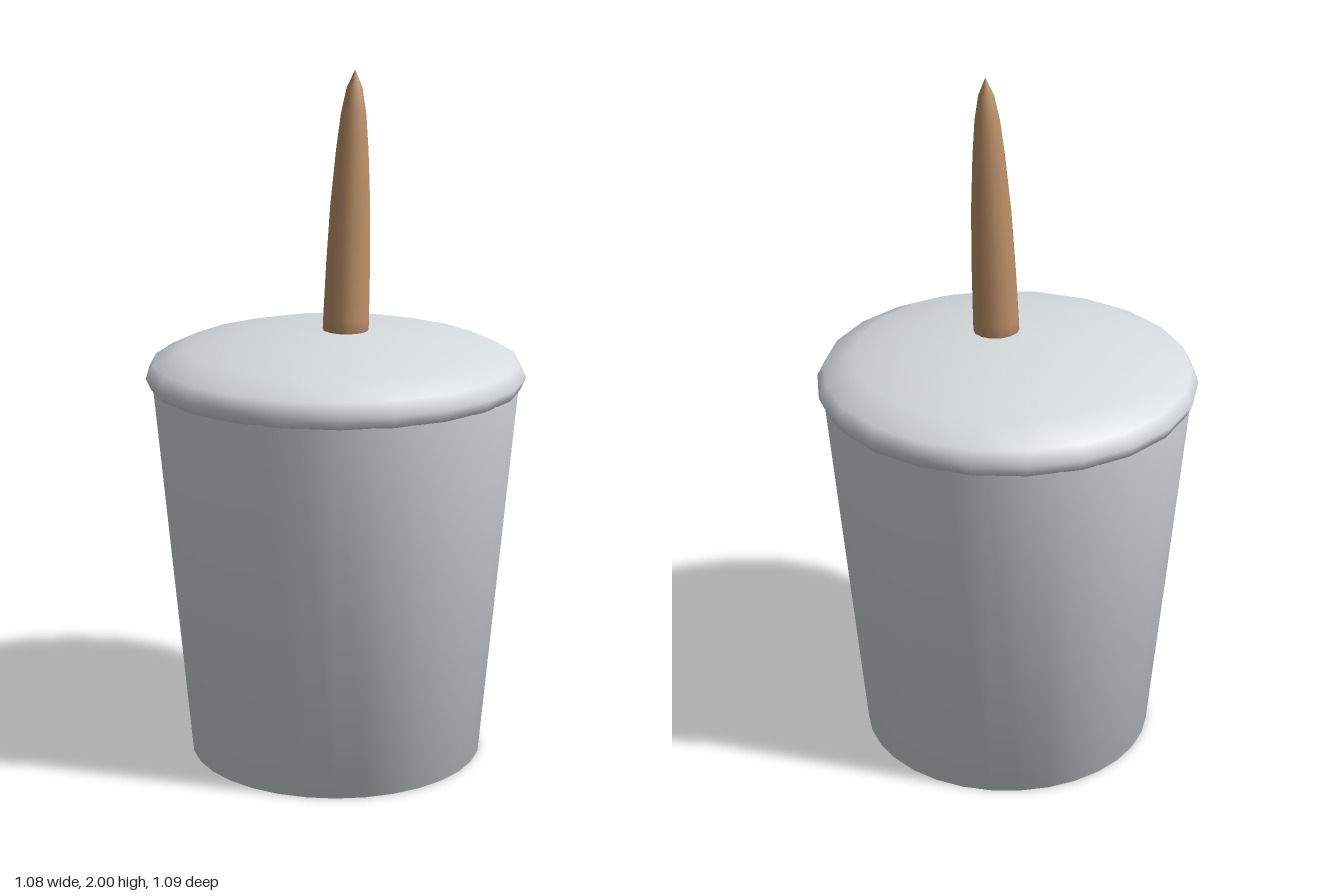
import * as THREE from 'three';

const profile = (pairs) => pairs.map(([r, y]) => new THREE.Vector2(r, y));

function lathe(name, pairs, sides, material) {
  const mesh = new THREE.Mesh(new THREE.LatheGeometry(profile(pairs), sides), material);
  mesh.name = name;
  return mesh;
}

export function createModel() {
  const group = new THREE.Group();
  const paper = new THREE.MeshStandardMaterial({ color: 0xd6dbde });
  paper.name = 'pale grey';
  const wood = new THREE.MeshStandardMaterial({ color: 0xbe9169 });
  wood.name = 'light wood';

  // Tapered cup, closed at the base and softly shaded into it
  group.add(lathe('cup', [[0, 0], [0.427, 0], [0.527, 1.11]], 32, paper));

  // Domed lid with a rolled rim that tucks under into the cup
  group.add(lathe('lid', [
    [0, 1.085], [0.5, 1.085], [0.53, 1.097], [0.545, 1.13], [0.525, 1.17],
    [0.44, 1.21], [0.3, 1.243], [0.15, 1.262], [0, 1.268],
  ], 22, paper));

  // Pointed stick, leaning towards the front as it rises
  const stick = lathe('stick', [
    [0, 1.2], [0.066, 1.2], [0.065, 1.3], [0.062, 1.45], [0.056, 1.62],
    [0.045, 1.78], [0.035, 1.88], [0.022, 1.95], [0, 2],
  ], 14, wood);
  const p = stick.geometry.attributes.position;
  for (let i = 0; i < p.count; i++) {
    p.setZ(i, p.getZ(i) + 0.05 + (p.getY(i) - 1.26) * 0.062);
  }
  stick.geometry.computeBoundingSphere();
  group.add(stick);

  return group;
}
